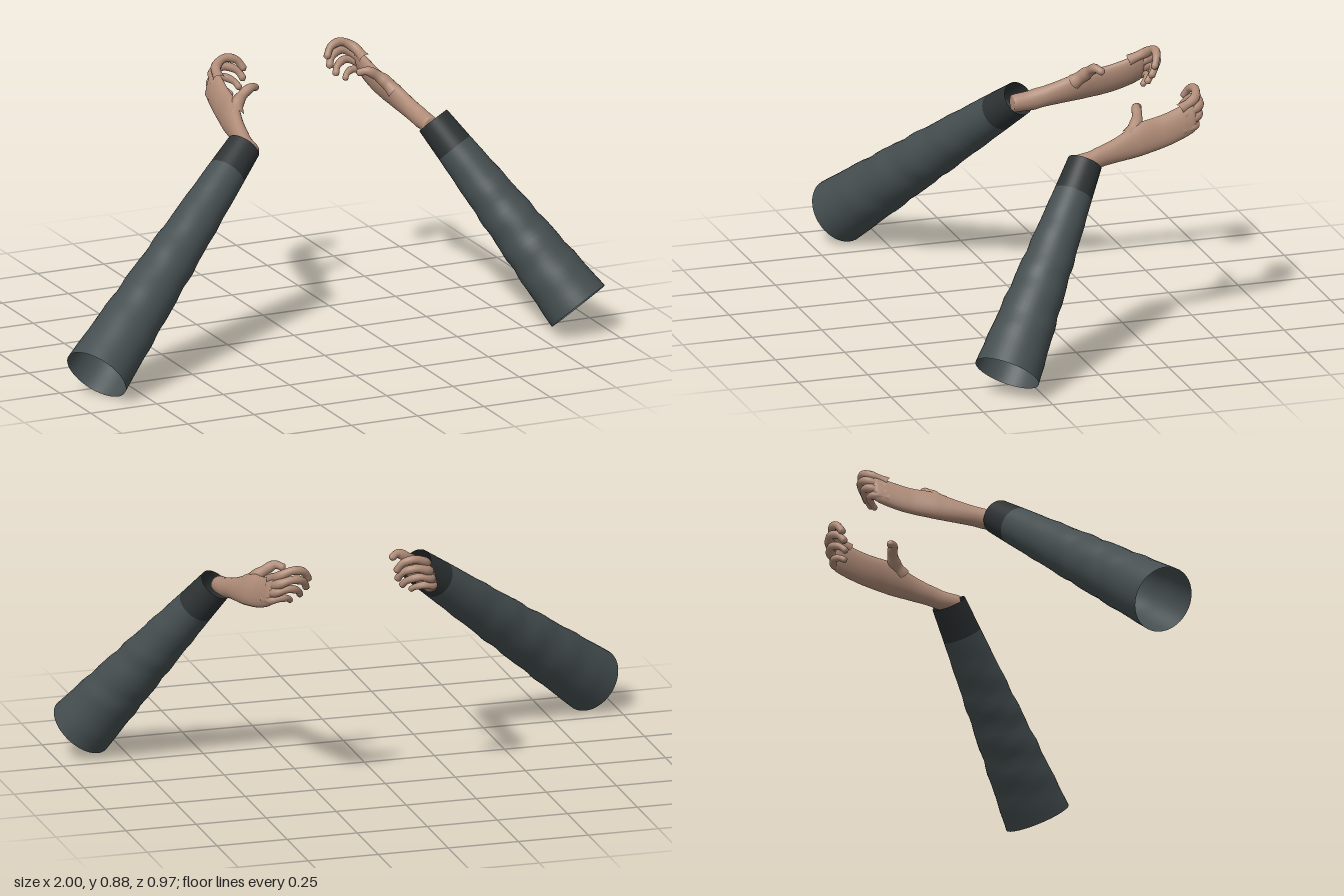
import * as THREE from 'three';
import { mergeVertices } from 'three/addons/utils/BufferGeometryUtils.js';

const V = (x, y, z) => new THREE.Vector3(x, y, z);
const skin = new THREE.MeshStandardMaterial({ color: 0xb08c78 });
const cloth = new THREE.MeshStandardMaterial({ color: 0x454e50, side: THREE.DoubleSide });
const cuffCloth = new THREE.MeshStandardMaterial({ color: 0x2d3233, side: THREE.DoubleSide });

// Move every vertex by a rule, then weld the seam and smooth the normals
function reshape(geometry, rule) {
  const pos = geometry.attributes.position, p = V(0, 0, 0);
  for (let i = 0; i < pos.count; i++) {
    p.fromBufferAttribute(pos, i);
    rule(p, i);
    pos.setXYZ(i, p.x, p.y, p.z);
  }
  geometry.deleteAttribute('uv');
  geometry.deleteAttribute('normal');
  const g = mergeVertices(geometry, 1e-5);
  g.computeVertexNormals();
  return g;
}

function mesh(name, geometry, material) {
  const m = new THREE.Mesh(geometry, material);
  m.name = name;
  return m;
}

// Finger: tube along a curve, tapering to a rounded tip with slight joint swelling
function finger(name, points, r0, r1) {
  const rows = 30, sides = 12;
  const curve = new THREE.CatmullRomCurve3(points);
  const length = curve.getLength();
  const geo = reshape(new THREE.TubeGeometry(curve, rows, 1, sides), (p, i) => {
    const t = Math.floor(i / (sides + 1)) / rows;
    const c = curve.getPointAt(t);
    const left = Math.min(1, (1 - t) * length / r1);
    const r = THREE.MathUtils.lerp(r0, r1, t) * (1 + 0.06 * Math.cos(t * Math.PI * 6));
    p.sub(c).multiplyScalar(r * Math.sqrt(Math.max(0.0004, 1 - (1 - left) ** 2))).add(c);
  });
  return mesh(name, geo, skin);
}

// Forearm and palm: elliptical sections [x, y, z, halfWidth, halfHeight, tilt]
const armSections = [
  [-0.165, 0.683, 0.012, 0.004, 0.004, 0],
  [-0.165, 0.684, 0.008, 0.030, 0.030, 0],
  [-0.161, 0.690, -0.05, 0.029, 0.034, 0],
  [-0.153, 0.702, -0.10, 0.028, 0.037, 0.10],
  [-0.146, 0.714, -0.15, 0.027, 0.043, 0.20],
  [-0.137, 0.728, -0.20, 0.027, 0.052, 0.28],
  [-0.129, 0.740, -0.25, 0.026, 0.057, 0.30],
  [-0.121, 0.748, -0.30, 0.024, 0.056, 0.30],
  [-0.115, 0.760, -0.35, 0.023, 0.056, 0.28],
  [-0.109, 0.777, -0.40, 0.022, 0.056, 0.28],
  [-0.106, 0.789, -0.435, 0.019, 0.052, 0.28],
  [-0.104, 0.795, -0.452, 0.004, 0.030, 0.28],
];

function forearm(s) {
  const centres = new THREE.CatmullRomCurve3(armSections.map(a => V(s * a[0], a[1], a[2])));
  const sizes = new THREE.CatmullRomCurve3(armSections.map(a => V(a[3], a[4], -s * a[5])));
  const geo = reshape(new THREE.CylinderGeometry(1, 1, 1, 24, 44), p => {
    const t = p.y + 0.5, c = centres.getPoint(t), k = sizes.getPoint(t);
    const x = p.x * Math.max(0.002, k.x), y = p.z * Math.max(0.002, k.y);
    const cs = Math.cos(k.z), sn = Math.sin(k.z);
    p.set(c.x + x * cs - y * sn, c.y + x * sn + y * cs, c.z);
  });
  return mesh('forearm', geo, skin);
}

const digits = [
  ['indexFinger', 0.019, 0.012, [[-0.10, 0.818, -0.39], [-0.085, 0.846, -0.447], [-0.045, 0.866, -0.464], [-0.003, 0.856, -0.457], [0.022, 0.818, -0.440]]],
  ['middleFinger', 0.019, 0.012, [[-0.107, 0.795, -0.40], [-0.090, 0.821, -0.460], [-0.045, 0.835, -0.470], [-0.003, 0.820, -0.452], [0.015, 0.786, -0.430]]],
  ['ringFinger', 0.018, 0.011, [[-0.115, 0.770, -0.40], [-0.100, 0.791, -0.455], [-0.058, 0.801, -0.463], [-0.020, 0.786, -0.443], [-0.004, 0.760, -0.420]]],
  ['littleFinger', 0.016, 0.010, [[-0.122, 0.748, -0.39], [-0.112, 0.760, -0.442], [-0.080, 0.766, -0.449], [-0.050, 0.757, -0.432], [-0.038, 0.742, -0.415]]],
  ['thumb', 0.026, 0.012, [[-0.125, 0.752, -0.20], [-0.102, 0.784, -0.232], [-0.072, 0.808, -0.246], [-0.044, 0.822, -0.251], [-0.012, 0.812, -0.272]]],
];

// s = 1 for the arm on the right, -1 for its mirror on the left
function hand(name, s) {
  const g = new THREE.Group();
  g.name = name;
  g.add(forearm(s));
  for (const [part, r0, r1, pts] of digits)
    g.add(finger(part, pts.map(p => V(s * p[0], p[1], p[2])), r0, r1));
  return g;
}

// Open tapered cloth tube around +y, from height y0 to y1, with soft folds
function clothTube(name, y0, y1, r0, r1, fold, material) {
  const profile = [];
  for (let i = 0; i <= 30; i++) {
    const t = i / 30;
    profile.push(new THREE.Vector2(THREE.MathUtils.lerp(r0, r1, t), THREE.MathUtils.lerp(y0, y1, t)));
  }
  const geo = reshape(new THREE.LatheGeometry(profile, 40), p => {
    const a = Math.atan2(p.z, p.x), t = (p.y - y0) / (y1 - y0);
    const k = 1 + fold * Math.sin(Math.PI * t) * (Math.sin(t * 34 + 2 * Math.sin(a)) + 0.6 * Math.sin(t * 57 + 3 * a));
    p.x *= k;
    p.z *= k;
  });
  return mesh(name, geo, material);
}

// Sleeve and cuff aimed from the open upper end to the wrist
function sleeve(name, from, to) {
  const g = new THREE.Group();
  g.name = name;
  const dir = to.clone().sub(from), length = dir.length(), split = length - 0.12;
  g.add(clothTube('sleeveCloth', 0, split, 0.115, 0.067, 0.02, cloth));
  g.add(clothTube('cuff', split, length, 0.067, 0.06, 0, cuffCloth));
  g.position.copy(from);
  g.quaternion.setFromUnitVectors(V(0, 1, 0), dir.normalize());
  return g;
}

export function createModel() {
  const model = new THREE.Group();
  model.name = 'sleevedArms';
  const rightHand = hand('rightHand', 1);
  const leftHand = hand('leftHand', -1);
  leftHand.position.x = 0.35;
  model.add(rightHand, leftHand);
  model.add(sleeve('rightSleeve', V(-0.922, 0.093, 0.38), V(-0.18, 0.695, -0.02)));
  model.add(sleeve('leftSleeve', V(0.896, 0.093, 0.38), V(0.535, 0.693, -0.02)));
  return model;
}
